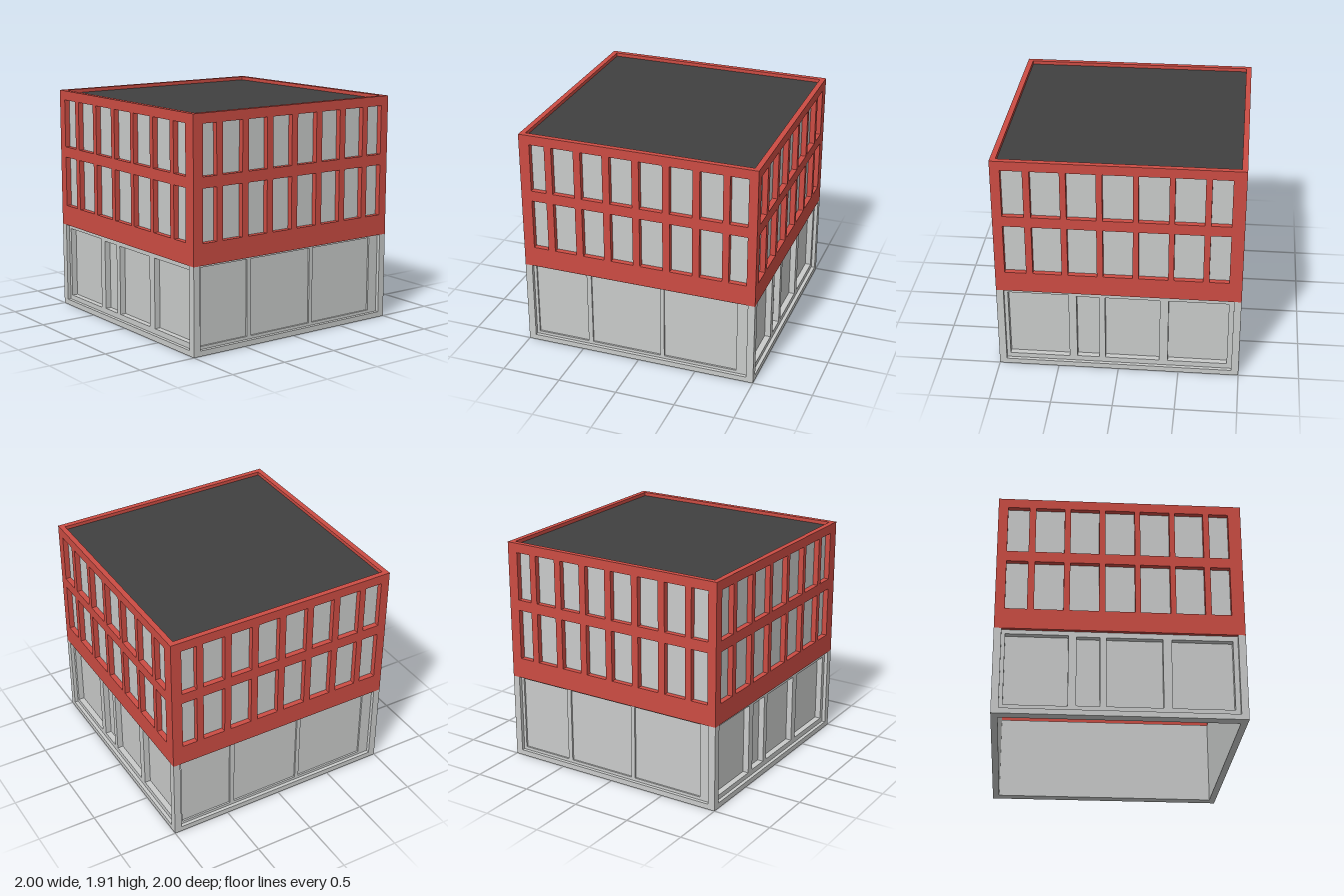
import * as THREE from 'three';

const red = new THREE.MeshStandardMaterial({ color: 0xcc4c43 });
red.name = 'red brick';
const grey = new THREE.MeshStandardMaterial({ color: 0xc9cbca });
grey.name = 'light grey';
const dark = new THREE.MeshStandardMaterial({ color: 0x404040 });
dark.name = 'dark roofing';

const BASE = 0.725, TOP = 1.91;

// Upright wall layer facing +z: half width, y range, holes [x0, x1, y0, y1], front z, depth
function layer(name, material, half, y0, y1, holes, front, depth) {
  const rect = (path, a, b, c, d) =>
    path.moveTo(a, c).lineTo(b, c).lineTo(b, d).lineTo(a, d).closePath();
  const shape = new THREE.Shape();
  rect(shape, -half, half, y0, y1);
  for (const h of holes) {
    const hole = new THREE.Path();
    rect(hole, ...h);
    shape.holes.push(hole);
  }
  const geometry = new THREE.ExtrudeGeometry(shape, { depth, bevelEnabled: false });
  geometry.translate(0, 0, front - depth);
  const mesh = new THREE.Mesh(geometry, material);
  mesh.name = name;
  return mesh;
}

function box(name, material, w, h, d, x, y, z) {
  const mesh = new THREE.Mesh(new THREE.BoxGeometry(w, h, d), material);
  mesh.name = name;
  mesh.position.set(x, y, z);
  return mesh;
}

// One facade facing +z
function facade(name, spec) {
  const g = new THREE.Group();
  g.name = name;
  // Upper storeys: two rows of windows with one sheet of glazing behind
  const windows = [];
  for (const [y0, y1] of [[0.9, 1.33], [1.42, 1.83]])
    for (const [x0, x1] of spec.windows) windows.push([x0, x1, y0, y1]);
  g.add(layer('upperWall', red, spec.wallHalf, BASE, TOP, windows, 1, 0.045));
  g.add(box('upperGlazing', grey, 1.87, 0.95, 0.008, 0, 1.365, 0.951));
  // Ground floor: sill and corner posts, recessed shopfront frame, panes
  const postWidth = spec.postHalf - 0.94;
  g.add(box('sill', grey, 1.88, 0.045, 0.03, 0, 0.0225, 0.985));
  for (const s of [-1, 1])
    g.add(box('cornerPost', grey, postWidth, BASE, 0.03, s * (0.94 + postWidth / 2), BASE / 2, 0.985));
  g.add(layer('shopfrontFrame', grey, spec.frameHalf, 0, BASE, spec.panes, 0.97, spec.frameDepth));
  g.add(box('shopfrontPane', grey, spec.paneHalf * 2, BASE, 0.01, 0, BASE / 2, 0.965 - spec.frameDepth));
  return g;
}

const frontSpec = {
  wallHalf: 1, postHalf: 1, frameHalf: 0.97, frameDepth: 0.015, paneHalf: 0.92,
  windows: [[-0.91, -0.78], [-0.72, -0.53], [-0.47, -0.285], [-0.225, -0.035],
    [0.025, 0.22], [0.28, 0.47], [0.53, 0.72], [0.775, 0.925]],
  panes: [[-0.915, -0.46, 0.07, 0.705], [-0.42, 0.185, 0.07, 0.705], [0.22, 0.845, 0.07, 0.705]],
};
const sideSpec = {
  wallHalf: 0.955, postHalf: 0.97, frameHalf: 0.955, frameDepth: 0.05, paneHalf: 0.945,
  windows: [[-0.92, -0.745], [-0.69, -0.455], [-0.405, -0.17], [-0.12, 0.12],
    [0.165, 0.405], [0.45, 0.685], [0.735, 0.895]],
  panes: [[-0.91, -0.41, 0.085, 0.69], [-0.345, -0.16, 0.09, 0.68],
    [-0.11, 0.34, 0.09, 0.68], [0.41, 0.9, 0.09, 0.68]],
};

export function createModel() {
  const model = new THREE.Group();
  model.name = 'building';
  ['frontFacade', 'rightFacade', 'backFacade', 'leftFacade'].forEach((name, i) => {
    const g = facade(name, i % 2 ? sideSpec : frontSpec);
    g.rotation.y = i * Math.PI / 2;
    model.add(g);
  });
  // Flat roof just below the parapet
  model.add(box('roof', dark, 1.91, 0.01, 1.91, 0, 1.875, 0));
  return model;
}
